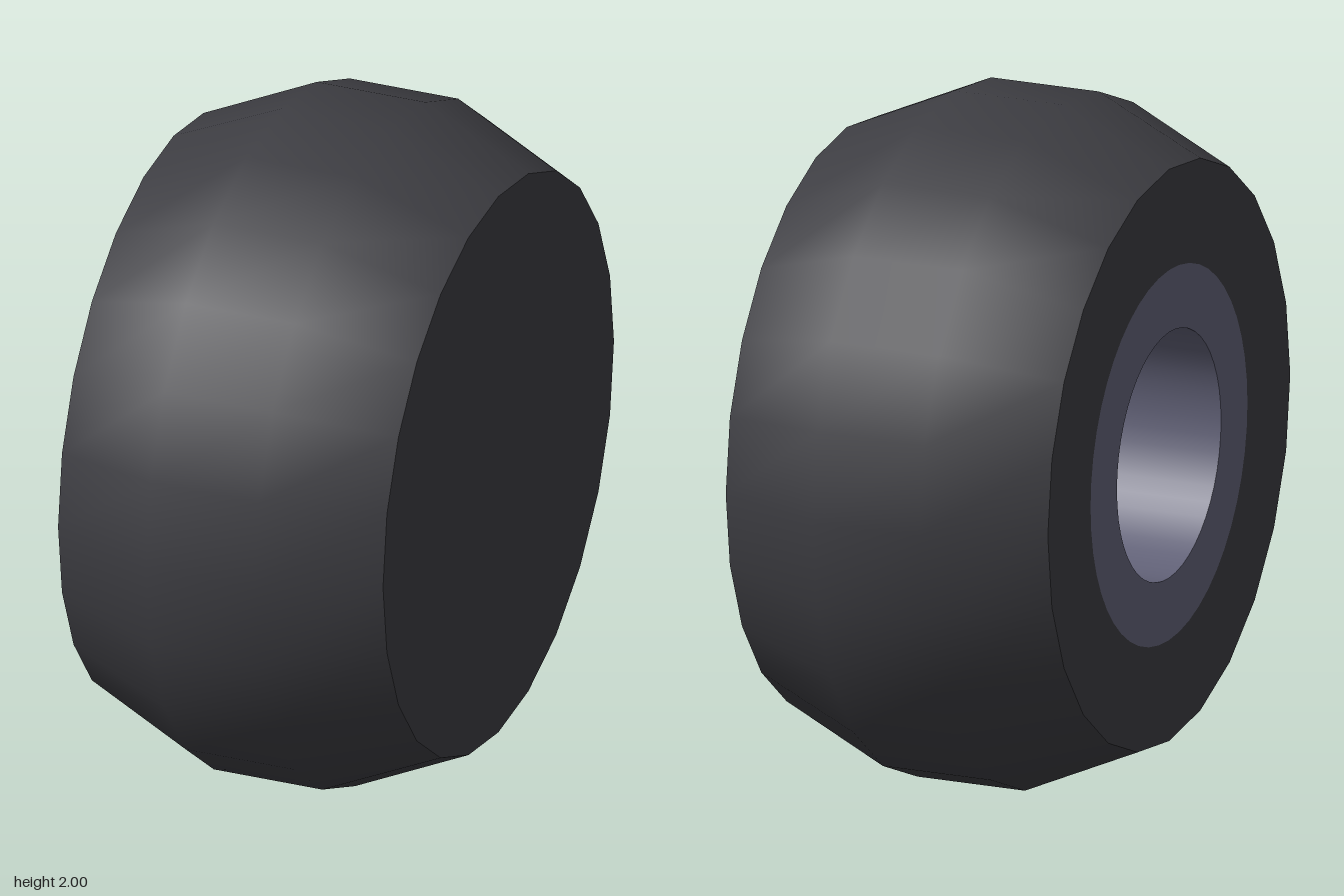
import * as THREE from 'three';
import { mergeGeometries } from 'three/addons/utils/BufferGeometryUtils.js';

const SIDES = 24, HUB_SIDES = 48;
const HALF = 0.5, FACE_R = 0.85, HUB_R = 0.55, BORE_R = 0.365, BORE_DEPTH = 0.4;

const rubber = new THREE.MeshStandardMaterial({ color: 0x3d3d42 });
rubber.name = 'dark rubber';
const metal = new THREE.MeshStandardMaterial({ color: 0x626278 });
metal.name = 'blue grey metal';

const polygon = (r, n) => Array.from({ length: n }, (_, i) => {
  const a = (i / n) * Math.PI * 2;
  return new THREE.Vector2(r * Math.cos(a), r * Math.sin(a));
});
const lathe = (points, n) =>
  new THREE.LatheGeometry(points.map(([r, y]) => new THREE.Vector2(r, y)), n);

export function createModel() {
  const model = new THREE.Group();
  model.name = 'wheel';

  // The parts are turned about y; the axle is then laid along x
  const wheel = new THREE.Group();
  wheel.name = 'wheelParts';
  wheel.rotation.z = -Math.PI / 2;
  wheel.position.y = 1;
  model.add(wheel);

  const add = (name, geometry, material) => {
    const mesh = new THREE.Mesh(geometry, material);
    mesh.name = name;
    wheel.add(mesh);
  };

  // Smooth tread with sloping shoulders
  add('tread', lathe([[FACE_R, -HALF], [1, -0.167], [1, 0.167], [FACE_R, HALF]], SIDES), rubber);

  // Closed sidewall
  add('closedSidewall',
    new THREE.CircleGeometry(FACE_R, SIDES).rotateX(-Math.PI / 2).translate(0, HALF, 0), rubber);

  // Sidewall with an opening for the hub
  const wall = new THREE.Shape(polygon(FACE_R, SIDES));
  wall.holes.push(new THREE.Path(polygon(HUB_R, HUB_SIDES)));
  add('hubSidewall',
    new THREE.ShapeGeometry(wall).rotateX(Math.PI / 2).translate(0, -HALF, 0), rubber);

  // Hub: flush ring, bore wall and bore floor
  add('hub', mergeGeometries([
    new THREE.RingGeometry(BORE_R, HUB_R, HUB_SIDES).rotateX(Math.PI / 2).translate(0, -HALF, 0),
    lathe([[BORE_R, BORE_DEPTH - HALF], [BORE_R, -HALF]], HUB_SIDES),
    new THREE.CircleGeometry(BORE_R, HUB_SIDES).rotateX(Math.PI / 2)
      .translate(0, BORE_DEPTH - HALF, 0),
  ]), metal);

  return model;
}
